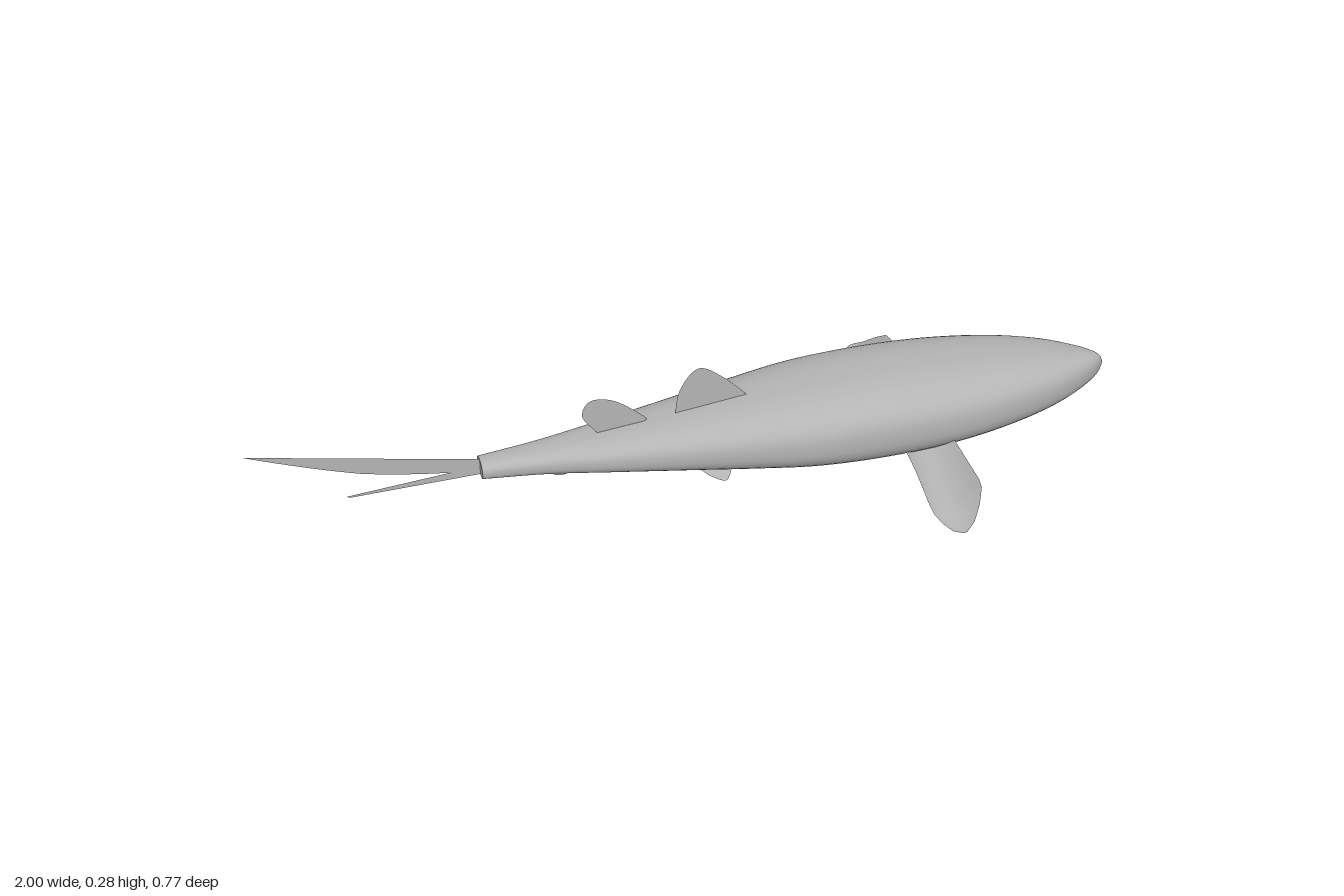
import * as THREE from 'three';

const grey = new THREE.MeshStandardMaterial({ color: 0xb4b4b4, side: THREE.DoubleSide });
grey.name = 'grey skin';

function add(parent, name, geometry) {
  const mesh = new THREE.Mesh(geometry, grey);
  mesh.name = name;
  parent.add(mesh);
  return mesh;
}

// Surface through equal rows of points; closed rows wrap round
function loft(rows, closed) {
  const n = rows[0].length, index = [];
  for (let i = 0; i < rows.length - 1; i++) {
    for (let j = 0; j < (closed ? n : n - 1); j++) {
      const k = (j + 1) % n, a = i * n, b = a + n;
      index.push(a + j, b + j, b + k, a + j, b + k, a + k);
    }
  }
  const g = new THREE.BufferGeometry();
  g.setAttribute('position', new THREE.Float32BufferAttribute(rows.flat(2), 3));
  g.setIndex(index);
  g.computeVertexNormals();
  return g;
}

// Body stations: x, top, bottom, half width
const stations = [
  [-0.49, 0.135, 0.093, 0.03], [-0.35, 0.144, 0.084, 0.046], [-0.2, 0.157, 0.07, 0.073],
  [0, 0.178, 0.05, 0.109], [0.12, 0.192, 0.037, 0.13], [0.26, 0.207, 0.023, 0.15],
  [0.43, 0.215, 0.015, 0.154], [0.6, 0.21, 0.021, 0.147], [0.756, 0.197, 0.036, 0.12],
  [0.863, 0.18, 0.053, 0.087], [0.93, 0.163, 0.069, 0.055], [0.97, 0.15, 0.081, 0.029],
  [0.99, 0.138, 0.092, 0.011], [1, 0.12, 0.112, 0.001],
];

function bodyRings() {
  const heights = new THREE.CatmullRomCurve3(stations.map(s => new THREE.Vector3(s[0], s[1], s[2])));
  const widths = new THREE.CatmullRomCurve3(stations.map(s => new THREE.Vector3(s[0], s[3], 0)));
  const rings = [], steps = 78, sides = 48;
  const bulge = v => Math.sign(v) * Math.pow(Math.abs(v), 0.8);
  for (let i = 0; i <= steps; i++) {
    const p = heights.getPoint(i / steps), w = widths.getPoint(i / steps).y;
    const ring = [];
    for (let j = 0; j < sides; j++) {
      const a = (j / sides) * Math.PI * 2;
      ring.push([p.x, (p.y + p.z) / 2 + bulge(Math.sin(a)) * (p.y - p.z) / 2, bulge(Math.cos(a)) * w]);
    }
    rings.push(ring);
  }
  return rings;
}

// Flat fin: straight root, rounded outer edge through the points
function flatFin(root, edge) {
  const shape = new THREE.Shape();
  shape.moveTo(...edge[0]);
  shape.splineThru(edge.slice(1).map(p => new THREE.Vector2(...p)));
  root.forEach(p => shape.lineTo(...p));
  shape.closePath();
  return new THREE.ShapeGeometry(shape, 8);
}

export function createModel() {
  const fish = new THREE.Group();
  fish.name = 'fish';

  // Body and the blunt end of the tail stalk
  const rings = bodyRings();
  add(fish, 'body', loft(rings, true));
  const centre = rings[0].map(() => [-0.49, 0.114, 0]);
  add(fish, 'tailStalkEnd', loft([centre, rings[0]], true));

  // Fins on the midline
  add(fish, 'frontDorsalFin', flatFin([[0.1, 0.17], [-0.03, 0.15]],
    [[-0.042, 0.17], [-0.03, 0.235], [0.013, 0.284], [0.07, 0.25], [0.128, 0.19]]));
  add(fish, 'rearDorsalFin', flatFin([[-0.13, 0.15], [-0.21, 0.14]],
    [[-0.222, 0.155], [-0.255, 0.205], [-0.235, 0.243], [-0.18, 0.233], [-0.115, 0.18], [-0.11, 0.166]]));
  add(fish, 'analFin', flatFin([[-0.25, 0.09], [-0.34, 0.1]],
    [[-0.34, 0.083], [-0.325, 0.06], [-0.3, 0.055], [-0.27, 0.066], [-0.25, 0.078]]));

  // Forked tail
  const tail = new THREE.Shape();
  tail.moveTo(-0.47, 0.132);
  tail.lineTo(-1, 0.245);
  tail.quadraticCurveTo(-0.86, 0.185, -0.75, 0.15);
  tail.quadraticCurveTo(-0.65, 0.125, -0.555, 0.113);
  tail.lineTo(-0.79, 0.095);
  tail.lineTo(-0.78, 0.091);
  tail.lineTo(-0.47, 0.096);
  tail.closePath();
  add(fish, 'tailFin', new THREE.ShapeGeometry(tail, 8));

  // Pectoral fin rows: z, then x and y of the leading, middle and trailing points
  const pectoral = [
    [0.11, 0.58, 0.071, 0.52, 0.045, 0.465, 0.062],
    [0.2, 0.58, 0.07, 0.52, 0.034, 0.465, 0.048],
    [0.29, 0.58, 0.07, 0.52, 0.022, 0.465, 0.022],
    [0.315, 0.577, 0.066, 0.52, 0.017, 0.467, 0.014],
    [0.345, 0.562, 0.043, 0.52, 0.011, 0.477, 0.007],
    [0.37, 0.542, 0.018, 0.517, 0.004, 0.492, 0.002],
    [0.385, 0.52, 0.006, 0.515, 0.004, 0.51, 0.004],
  ];
  for (const side of [1, -1]) {
    const label = side > 0 ? 'front' : 'back';
    const rows = pectoral.map(([z, x0, y0, x1, y1, x2, y2]) => {
      const curve = new THREE.QuadraticBezierCurve(new THREE.Vector2(x0, y0),
        new THREE.Vector2(2 * x1 - (x0 + x2) / 2, 2 * y1 - (y0 + y2) / 2), new THREE.Vector2(x2, y2));
      const row = curve.getPoints(8).map(p => [p.x, Math.max(p.y, 0), z * side]);
      return side > 0 ? row : row.reverse();
    });
    add(fish, label + 'PectoralFin', loft(rows, false));

    // Small splayed pelvic fins
    const pelvic = flatFin([[0.075, 0.03], [0, 0.03]],
      [[0, 0], [0.02, -0.018], [0.05, -0.033], [0.064, -0.022], [0.075, 0.005]]);
    const fin = add(fish, label + 'PelvicFin', pelvic);
    fin.position.set(0, 0.053, 0.066 * side);
    fin.rotation.x = -0.7 * side;
  }
  return fish;
}
